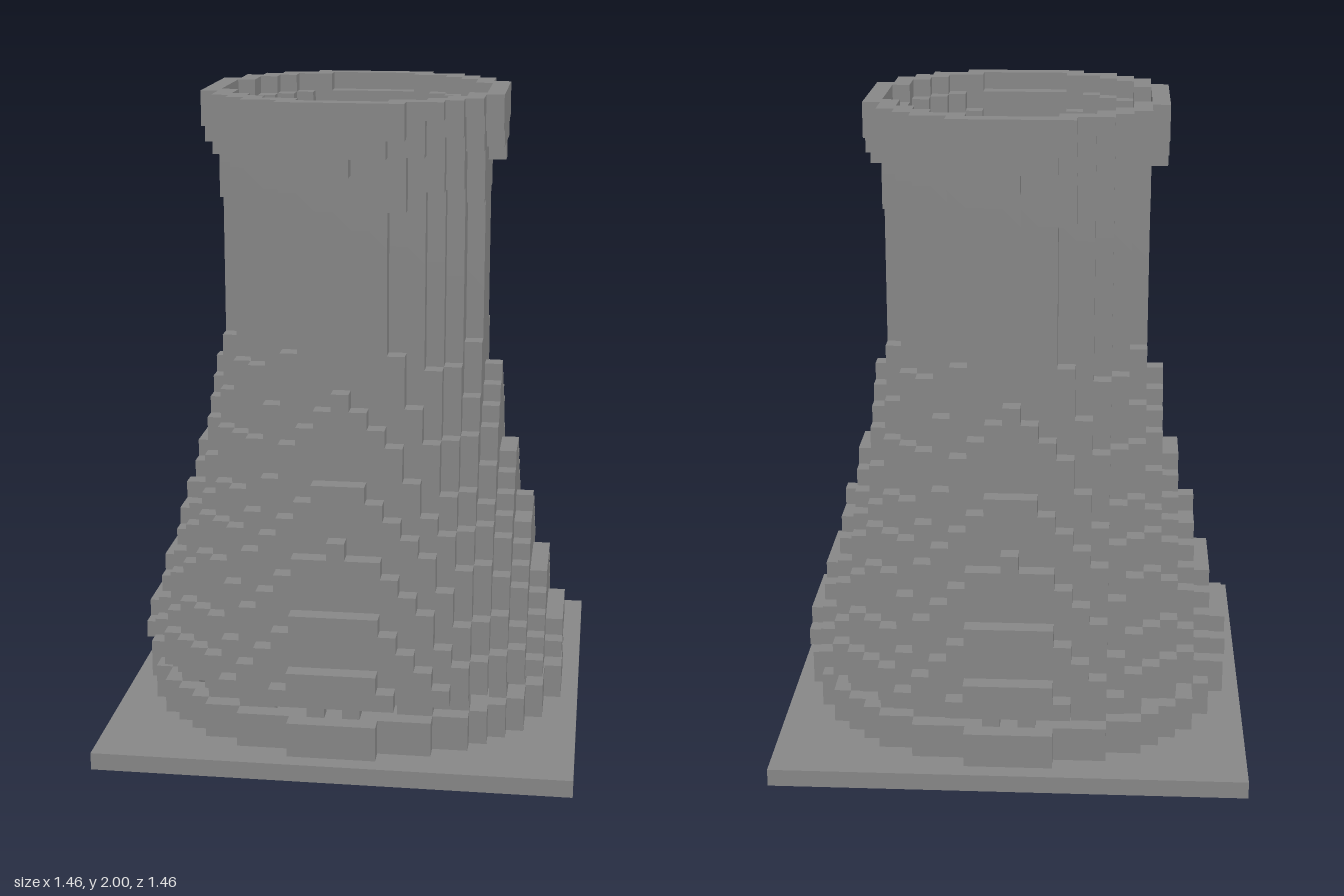
import * as THREE from 'three';

const U = 2 / 37;          // edge of one cube
const WALL = 1.6;          // wall thickness in cubes
const HALF = 13;           // cubes from the middle to the plate edge

// squared outer radius (in cubes) of each layer of the tower wall, from layer 4 up
const PROFILE = [157, 149, 141, 134, 127.5, 120.5, 113.7, 106.9, 100.4, 94.4, 88.8, 83.5, 79,
  74.5, 70.5, 67, 64.4, 62, 59.7, 57.7, 57.5, 57, 57, 57, 57, 57.5, 57.7, 59.7, 62, 64.4, 69, 73.5, 79];

// ring of support columns: one eighth of the circle, mirrored everywhere else
const COLUMNS = [[1, 11], [4, 10], [5, 10], [6, 9], [7, 9]];

function inRing(x, z, r2) {
  const d2 = x * x + z * z;
  return d2 <= r2 && Math.sqrt(d2) > Math.sqrt(r2) - WALL;
}

// name of the part that fills a cell, or null when it is empty
function partAt(x, y, z) {
  if (y < 1 || y > 36) return null;
  if (y < 3) return inRing(x, z, 150) ? 'basinWall' : null;
  if (y === 3) {
    const a = Math.min(Math.abs(x), Math.abs(z)), b = Math.max(Math.abs(x), Math.abs(z));
    return COLUMNS.some(([p, q]) => p === a && q === b) ? 'supportColumns' : null;
  }
  const r2 = PROFILE[y - 4];
  if (inRing(x, z, r2)) return y < 21 ? 'flaredWall' : y < 33 ? 'throatWall' : 'topRim';
  // grating of crossing bars at the foot of the tower
  if (y === 4 && x * x + z * z < r2 && (x % 4 === 0 || z % 4 === 0)) return 'grating';
  return null;
}

const DIRS = [[1, 0, 0], [-1, 0, 0], [0, 1, 0], [0, -1, 0], [0, 0, 1], [0, 0, -1]];

// adds the square face of a cube that looks along direction n
function addFace(out, c, n) {
  const N = new THREE.Vector3(...n);
  const a = new THREE.Vector3(n[1], n[2], n[0]);
  const b = new THREE.Vector3().crossVectors(N, a);
  const corner = (s, t) => new THREE.Vector3(...c)
    .addScaledVector(N, 0.5).addScaledVector(a, s / 2).addScaledVector(b, t / 2).multiplyScalar(U);
  const p = [corner(-1, -1), corner(1, -1), corner(1, 1), corner(-1, 1)];
  for (const i of [0, 1, 2, 0, 2, 3]) {
    out.pos.push(p[i].x, p[i].y, p[i].z);
    out.nor.push(...n);
  }
}

export function createModel() {
  const group = new THREE.Group();
  const concrete = new THREE.MeshStandardMaterial({ color: 0x888888 });
  concrete.name = 'concrete grey';

  // square ground plate
  const plate = new THREE.Mesh(new THREE.BoxGeometry(27 * U, U, 27 * U), concrete);
  plate.position.y = U / 2;
  plate.name = 'basePlate';
  group.add(plate);

  // collect the exposed cube faces of every part
  const parts = {};
  for (let y = 1; y <= 36; y++)
    for (let x = -HALF; x <= HALF; x++)
      for (let z = -HALF; z <= HALF; z++) {
        const name = partAt(x, y, z);
        if (!name) continue;
        const out = (parts[name] ??= { pos: [], nor: [] });
        for (const n of DIRS) {
          const hidden = partAt(x + n[0], y + n[1], z + n[2]) || (y === 1 && n[1] < 0);
          if (!hidden) addFace(out, [x, y + 0.5, z], n);
        }
      }

  // one mesh per part
  for (const [name, { pos, nor }] of Object.entries(parts)) {
    const geo = new THREE.BufferGeometry();
    geo.setAttribute('position', new THREE.Float32BufferAttribute(pos, 3));
    geo.setAttribute('normal', new THREE.Float32BufferAttribute(nor, 3));
    const mesh = new THREE.Mesh(geo, concrete);
    mesh.name = name;
    group.add(mesh);
  }
  return group;
}
